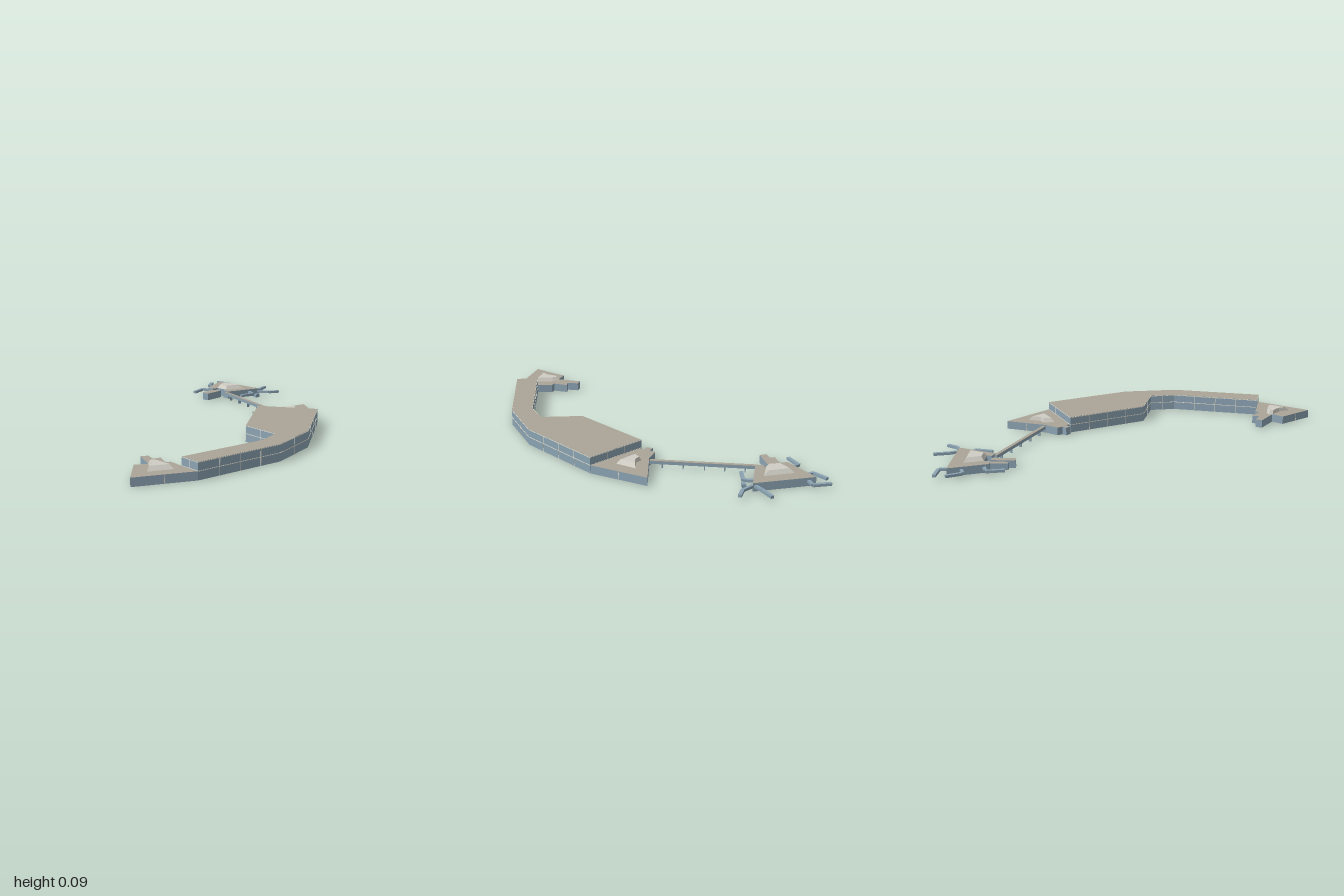
import * as THREE from 'three';

const mat = (name, color, side = THREE.FrontSide) => {
  const m = new THREE.MeshStandardMaterial({ color, side });
  m.name = name;
  return m;
};

export function createModel() {
  const wallMat = mat('blueWall', 0x8ba3b3, THREE.DoubleSide);
  const roofMat = mat('stoneRoof', 0xaba598, THREE.DoubleSide);
  const lightMat = mat('paleSkylight', 0xcfcdc4);
  const trimMat = mat('creamTrim', 0xe2dfd0);
  const root = new THREE.Group();
  root.name = 'terminalComplex';

  const add = (parent, name, geo, material) => {
    const m = new THREE.Mesh(geo, material);
    m.name = name;
    parent.add(m);
    return m;
  };
  const group = (name) => {
    const g = new THREE.Group();
    g.name = name;
    root.add(g);
    return g;
  };

  // Order an [x, z] outline counter-clockwise as seen from above
  const ordered = (pts) => {
    const v = pts.map(([x, z]) => new THREE.Vector2(x, -z));
    return THREE.ShapeUtils.area(v) < 0 ? [...pts].reverse() : pts;
  };

  // Flat faces between two matching outlines (lower and upper)
  const skirt = (low, y0, high, y1) => {
    const pos = [];
    low.forEach((a, i) => {
      const j = (i + 1) % low.length;
      const b = low[j], c = high[j], d = high[i];
      pos.push(a[0], y0, a[1], b[0], y0, b[1], c[0], y1, c[1]);
      pos.push(a[0], y0, a[1], c[0], y1, c[1], d[0], y1, d[1]);
    });
    const g = new THREE.BufferGeometry();
    g.setAttribute('position', new THREE.Float32BufferAttribute(pos, 3));
    g.computeVertexNormals();
    return g;
  };

  const cap = (pts, y) => {
    const s = new THREE.Shape(pts.map(([x, z]) => new THREE.Vector2(x, -z)));
    return new THREE.ShapeGeometry(s).rotateX(-Math.PI / 2).translate(0, y, 0);
  };

  // Box lying along a ground line from a to b
  const beam = (parent, name, a, b, width, y0, y1, material) => {
    const dx = b[0] - a[0], dz = b[1] - a[1];
    const m = add(parent, name, new THREE.BoxGeometry(Math.hypot(dx, dz), y1 - y0, width), material);
    m.position.set((a[0] + b[0]) / 2, (y0 + y1) / 2, (a[1] + b[1]) / 2);
    m.rotation.y = -Math.atan2(dz, dx);
    return m;
  };

  // Open-bottomed building: walls plus a flat roof
  const building = (name, outline, height) => {
    const pts = ordered(outline);
    const g = group(name);
    add(g, 'walls', skirt(pts, 0, pts, height), wallMat);
    add(g, 'roof', cap(pts, height), roofMat);
    return { g, pts };
  };

  // Thin window bars on long walls, with rails at the given heights
  const windowBars = ({ g, pts }, height, rails, minLength) => {
    pts.forEach((a, i) => {
      const b = pts[(i + 1) % pts.length];
      const len = Math.hypot(b[0] - a[0], b[1] - a[1]);
      if (len < minLength) return;
      rails.forEach((y) => beam(g, 'windowRail', a, b, 0.003, y - 0.0015, y + 0.0015, trimMat));
      const n = Math.max(2, Math.round(len / 0.13));
      for (let k = 1; k < n; k++) {
        const t = k / n;
        const bar = add(g, 'windowBar', new THREE.BoxGeometry(0.003, height - 0.003, 0.003), trimMat);
        bar.position.set(a[0] + (b[0] - a[0]) * t, height / 2, a[1] + (b[1] - a[1]) * t);
        bar.rotation.y = -Math.atan2(b[1] - a[1], b[0] - a[0]);
      }
    });
  };

  // Raised skylight with sloping sides
  const skylight = (parent, outline, y0, y1, shrink) => {
    const pts = ordered(outline);
    const c = [0, 1].map((k) => pts.reduce((s, p) => s + p[k], 0) / pts.length);
    const top = pts.map((p) => p.map((v, k) => c[k] + (v - c[k]) * shrink));
    add(parent, 'skylightSides', skirt(pts, y0, top, y1), lightMat);
    add(parent, 'skylightTop', cap(top, y1), lightMat);
  };

  // Tall curved main hall
  const H = 0.09, L = 0.045;
  const main = building('mainHall', [
    [0.39, -0.545], [0.68, -0.127], [0.762, 0.175], [0.717, 0.693], [0.595, 0.685],
    [0.648, 0.18], [0.606, 0.042], [0.378, 0.024], [0.103, -0.36],
  ], H);
  windowBars(main, H, [0.045, 0.0875], 0.1);

  // Low north wing with stepped gate corner
  const north = building('northWing', [
    [0.125, -0.735], [0.388, -0.546], [0.113, -0.369], [0.095, -0.385], [0.073, -0.357],
    [0.045, -0.375], [0.063, -0.4], [0.04, -0.425], [0.082, -0.5],
  ], L);
  windowBars(north, L, [], 0.2);
  skylight(north.g, [[0.168, -0.617], [0.258, -0.543], [0.145, -0.463], [0.125, -0.52], [0.155, -0.545]], L, 0.067, 0.72);

  // Low south wing with stepped gate arm
  const south = building('southWing', [
    [0.716, 0.695], [0.58, 0.99], [0.426, 0.84], [0.463, 0.778], [0.335, 0.72], [0.352, 0.683],
    [0.41, 0.704], [0.42, 0.663], [0.494, 0.7], [0.51, 0.677], [0.595, 0.687],
  ], L);
  windowBars(south, L, [], 0.2);
  skylight(south.g, [[0.457, 0.757], [0.495, 0.745], [0.613, 0.75], [0.56, 0.873], [0.53, 0.82], [0.463, 0.782]], L, 0.067, 0.75);

  // Detached satellite
  const sat = building('satellite', [
    [-0.7, -0.847], [-0.373, -0.873], [-0.437, -0.66], [-0.484, -0.668], [-0.475, -0.695],
    [-0.56, -0.69], [-0.565, -0.655], [-0.606, -0.65],
  ], L);
  skylight(sat.g, [[-0.607, -0.785], [-0.447, -0.8], [-0.485, -0.692], [-0.562, -0.69]], L, 0.067, 0.72);
  building('gateBlockLong', [[-0.54, -0.66], [-0.5, -0.66], [-0.49, -0.537], [-0.527, -0.53]], 0.042);
  building('gateBlockShort', [[-0.575, -0.66], [-0.545, -0.66], [-0.535, -0.565], [-0.563, -0.562]], 0.036);

  // Bent boarding bridges around the satellite
  const arms = group('boardingBridges');
  [
    [[-0.66, -0.845], [-0.668, -0.897], [-0.764, -0.893]],
    [[-0.665, -0.78], [-0.71, -0.76], [-0.76, -0.835]],
    [[-0.612, -0.675], [-0.665, -0.655], [-0.635, -0.56]],
    [[-0.385, -0.865], [-0.41, -0.915], [-0.44, -0.998]],
    [[-0.378, -0.862], [-0.315, -0.905], [-0.288, -0.963]],
    [[-0.395, -0.807], [-0.345, -0.79], [-0.357, -0.695]],
  ].forEach(([a, b, c]) => {
    beam(arms, 'bridgeInner', a, b, 0.016, 0.019, 0.033, wallMat);
    beam(arms, 'bridgeOuter', b, c, 0.018, 0.018, 0.032, wallMat);
  });
  beam(arms, 'bridgeCabin', [-0.352, -0.818], [-0.33, -0.818], 0.03, 0.002, 0.022, wallMat);

  // Raised walkway on slim posts between satellite and north wing
  const walk = group('walkway');
  const p = [-0.45, -0.657], q = [0.08, -0.51];
  beam(walk, 'walkwayBody', p, q, 0.02, 0.022, 0.038, wallMat);
  beam(walk, 'walkwayRoof', p, q, 0.02, 0.038, 0.04, roofMat);
  [-0.39, -0.29, -0.19, -0.085, 0.018].forEach((x) => {
    const t = (x - p[0]) / (q[0] - p[0]);
    const post = add(walk, 'walkwayPost', new THREE.BoxGeometry(0.005, 0.022, 0.016), wallMat);
    post.position.set(x, 0.011, p[1] + (q[1] - p[1]) * t);
    post.rotation.y = -Math.atan2(q[1] - p[1], q[0] - p[0]);
  });

  return root;
}
